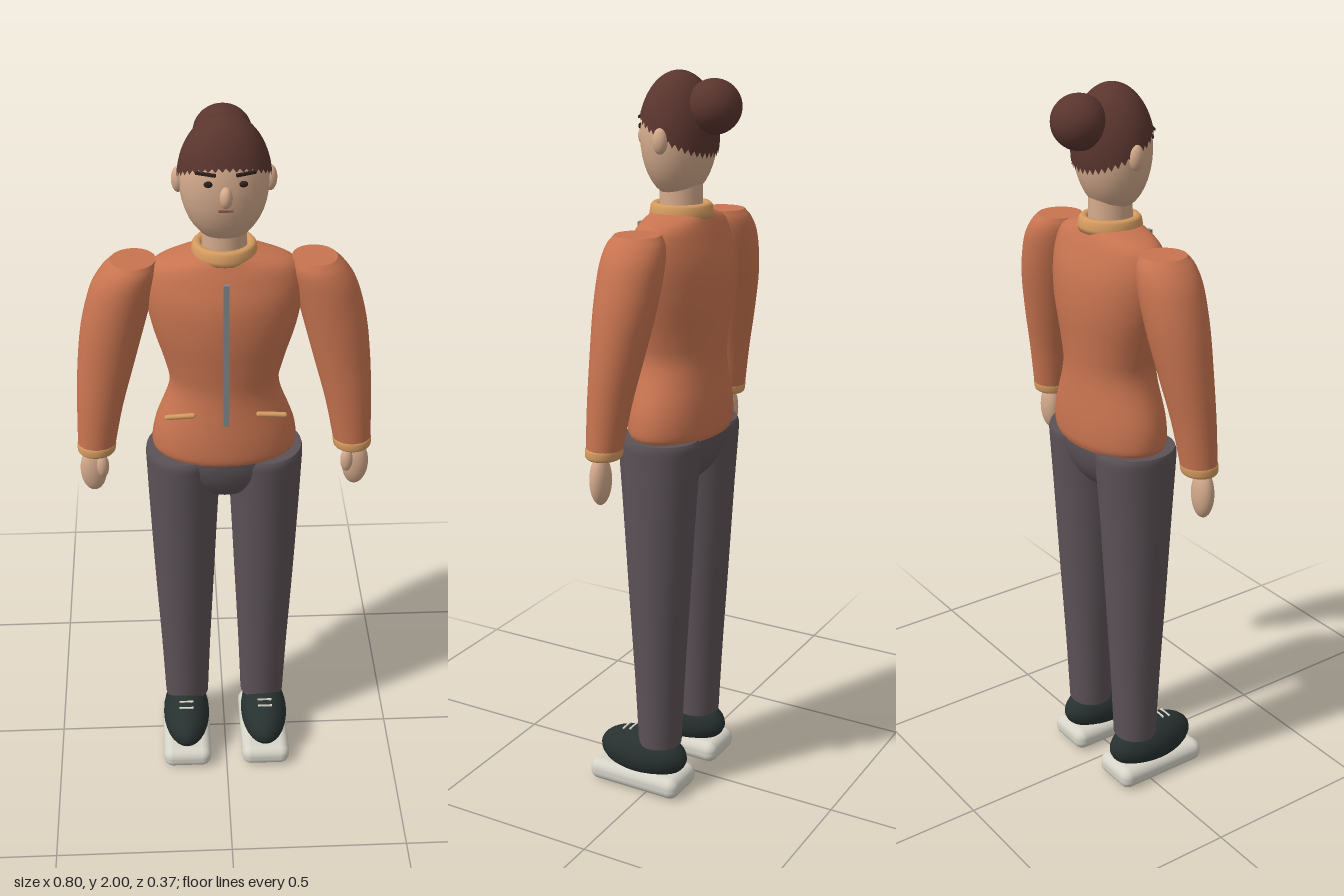
import * as THREE from 'three';
import { mergeVertices } from 'three/addons/utils/BufferGeometryUtils.js';
import { RoundedBoxGeometry } from 'three/addons/geometries/RoundedBoxGeometry.js';

const mat = (name, color) => {
  const m = new THREE.MeshStandardMaterial({ color });
  m.name = name;
  return m;
};

// Closed tube of elliptical rings; sections run bottom to top as [y, cx, cz, rx, rz]
function loft(sections, steps = 4, sides = 32) {
  const centre = new THREE.CatmullRomCurve3(sections.map(s => new THREE.Vector3(s[1], s[0], s[2])), false, 'catmullrom');
  const radius = new THREE.CatmullRomCurve3(sections.map(s => new THREE.Vector3(s[3], 0, s[4])), false, 'catmullrom');
  const n = (sections.length - 1) * steps;
  const pos = [], idx = [];
  const ring = t => {
    const c = centre.getPoint(t), r = radius.getPoint(t);
    for (let j = 0; j < sides; j++) {
      const a = (j / sides) * Math.PI * 2;
      pos.push(c.x + r.x * Math.cos(a), c.y, c.z + r.z * Math.sin(a));
    }
    return c;
  };
  for (let i = 0; i <= n; i++) ring(i / n);
  for (let i = 0; i < n; i++) {
    for (let j = 0; j < sides; j++) {
      const k = (j + 1) % sides, a = i * sides, b = a + sides;
      idx.push(a + j, b + j, a + k, a + k, b + j, b + k);
    }
  }
  // flat end caps with their own vertices
  for (const t of [0, 1]) {
    const start = pos.length / 3;
    const c = ring(t);
    pos.push(c.x, c.y, c.z);
    for (let j = 0; j < sides; j++) {
      const k = (j + 1) % sides;
      idx.push(start + sides, start + (t ? k : j), start + (t ? j : k));
    }
  }
  const g = new THREE.BufferGeometry();
  g.setAttribute('position', new THREE.Float32BufferAttribute(pos, 3));
  g.setIndex(idx);
  g.computeVertexNormals();
  return g;
}

// Upper part of an ellipsoid, cut by a plane that drops toward the back
function hairCap(rx, ry, rz, slope, offset) {
  const g = new THREE.SphereGeometry(1, 40, 20);
  const p = g.attributes.position, uv = g.attributes.uv;
  for (let i = 0; i < p.count; i++) {
    const phi = uv.getX(i) * Math.PI * 2;
    const b = slope * rz * Math.sin(phi);
    const max = Math.acos(offset / Math.hypot(ry, b)) - Math.atan2(b, ry);
    const th = (1 - uv.getY(i)) * max;
    p.setXYZ(i, -rx * Math.cos(phi) * Math.sin(th), ry * Math.cos(th), rz * Math.sin(phi) * Math.sin(th));
  }
  g.deleteAttribute('uv');
  g.deleteAttribute('normal');
  const merged = mergeVertices(g, 1e-5);
  merged.computeVertexNormals();
  return merged;
}

export function createModel() {
  const model = new THREE.Group();
  model.name = 'person';
  const skin = mat('skin', 0xd4aa8c);
  const hair = mat('hair', 0x5a352e);
  const jacket = mat('jacket', 0xc87450);
  const trim = mat('trim', 0xd69c60);
  const trousers = mat('trousers', 0x5c5257);
  const shoe = mat('shoe', 0x27312f);
  const sole = mat('sole', 0xd6d4c8);
  const metal = mat('zip', 0x7f8688);
  const dark = mat('features', 0x2c1f1c);
  const lip = mat('lip', 0x8c5648);

  const add = (name, geometry, material, x = 0, y = 0, z = 0) => {
    const m = new THREE.Mesh(geometry, material);
    m.name = name;
    m.position.set(x, y, z);
    model.add(m);
    return m;
  };
  const blob = (name, material, x, y, z, rx, ry, rz) =>
    add(name, new THREE.SphereGeometry(1, 28, 20).scale(rx, ry, rz), material, x, y, z);

  // Head and hair
  const hy = 1.835, hz = -0.012;
  const faceZ = (x, y) => hz + 0.096 * Math.sqrt(1 - (x / 0.111) ** 2 - ((y - hy) / 0.16) ** 2);
  blob('head', skin, 0, hy, hz, 0.111, 0.16, 0.096);
  add('hair', hairCap(0.117, 0.165, 0.102, 0.57, 0.004), hair, 0, hy, hz);
  blob('hairBun', hair, 0, 1.913, -0.113, 0.074, 0.07, 0.071);
  blob('nose', skin, 0, 1.83, 0.088, 0.016, 0.027, 0.02);
  add('mouth', new THREE.BoxGeometry(0.036, 0.005, 0.008), lip, 0, 1.793, faceZ(0, 1.793));

  // Neck and collar
  add('neck', new THREE.CylinderGeometry(0.056, 0.058, 0.12, 32), skin, 0, 1.67, -0.019);
  const collarProfile = [[0.058, 1.63], [0.083, 1.63], [0.084, 1.642], [0.081, 1.66], [0.075, 1.667], [0.064, 1.667], [0.058, 1.66], [0.058, 1.63]];
  add('collar', new THREE.LatheGeometry(collarProfile.map(p => new THREE.Vector2(...p)), 32), trim, 0, 0, -0.02);

  // Jacket body
  add('jacketBody', loft([
    [1.052, 0, -0.02, 0.186, 0.118],
    [1.075, 0, -0.02, 0.195, 0.124],
    [1.14, 0, -0.021, 0.186, 0.122],
    [1.25, 0, -0.023, 0.146, 0.112],
    [1.33, 0, -0.022, 0.158, 0.116],
    [1.43, 0, -0.021, 0.187, 0.124],
    [1.52, 0, -0.02, 0.202, 0.119],
    [1.585, 0, -0.02, 0.197, 0.099],
    [1.62, 0, -0.02, 0.168, 0.085],
    [1.645, 0, -0.02, 0.08, 0.074],
  ]), jacket);
  add('zip', new THREE.BoxGeometry(0.015, 0.415, 0.009), metal, 0, 1.397, 0.105);

  // Hips
  blob('hips', trousers, 0, 1.05, -0.016, 0.18, 0.15, 0.116);

  for (const s of [1, -1]) {
    const side = s > 0 ? 'left' : 'right';

    // Face details
    blob(side + 'Ear', skin, s * 0.113, 1.833, -0.02, 0.017, 0.033, 0.02);
    blob(side + 'Eye', dark, s * 0.042, 1.86, faceZ(0.042, 1.86), 0.011, 0.008, 0.006);
    const brow = add(side + 'Brow', new THREE.BoxGeometry(0.05, 0.006, 0.009), dark, s * 0.048, 1.885, faceZ(0.048, 1.885) + 0.003);
    brow.rotation.y = s * 0.4;

    // Sleeve, cuff and hand
    add(side + 'Sleeve', loft([
      [1.075, s * 0.346, 0.013, 0.05, 0.046],
      [1.2, s * 0.331, 0.004, 0.061, 0.056],
      [1.32, s * 0.311, -0.008, 0.074, 0.068],
      [1.44, s * 0.287, -0.018, 0.083, 0.08],
      [1.54, s * 0.26, -0.022, 0.083, 0.083],
      [1.59, s * 0.241, -0.022, 0.073, 0.076],
      [1.617, s * 0.23, -0.022, 0.058, 0.06],
    ]), jacket);
    add(side + 'Cuff', loft([
      [1.062, s * 0.346, 0.014, 0.047, 0.043],
      [1.068, s * 0.346, 0.014, 0.051, 0.047],
      [1.086, s * 0.345, 0.013, 0.052, 0.048],
      [1.092, s * 0.345, 0.013, 0.047, 0.043],
    ]), trim);
    blob(side + 'Hand', skin, s * 0.357, 1.004, 0.018, 0.036, 0.068, 0.026);
    blob(side + 'Thumb', skin, s * 0.331, 1.025, 0.036, 0.017, 0.036, 0.016);

    // Pocket edge
    const pocket = add(side + 'PocketTrim', new THREE.CapsuleGeometry(0.007, 0.068, 6, 12), trim, s * 0.12, 1.213, 0.09);
    pocket.rotation.z = Math.PI / 2 - s * 0.06;

    // Trouser leg
    add(side + 'Leg', loft([
      [0.145, s * 0.114, -0.016, 0.064, 0.06],
      [0.35, s * 0.114, -0.016, 0.072, 0.07],
      [0.6, s * 0.114, -0.016, 0.084, 0.085],
      [0.85, s * 0.113, -0.016, 0.095, 0.1],
      [1.0, s * 0.111, -0.016, 0.102, 0.111],
      [1.04, s * 0.11, -0.016, 0.104, 0.113],
      [1.056, s * 0.11, -0.016, 0.101, 0.108],
    ]), trousers);

    // Shoe with sole and laces
    blob(side + 'Shoe', shoe, s * 0.118, 0.1, 0.036, 0.069, 0.07, 0.136);
    add(side + 'Sole', new RoundedBoxGeometry(0.143, 0.064, 0.286, 5, 0.028), sole, s * 0.118, 0.032, 0.041);
    for (const [z, y] of [[0.07, 0.168], [0.092, 0.164]]) {
      add(side + 'Lace', new THREE.BoxGeometry(0.042, 0.004, 0.005), sole, s * 0.118, y, z);
    }
  }
  return model;
}
